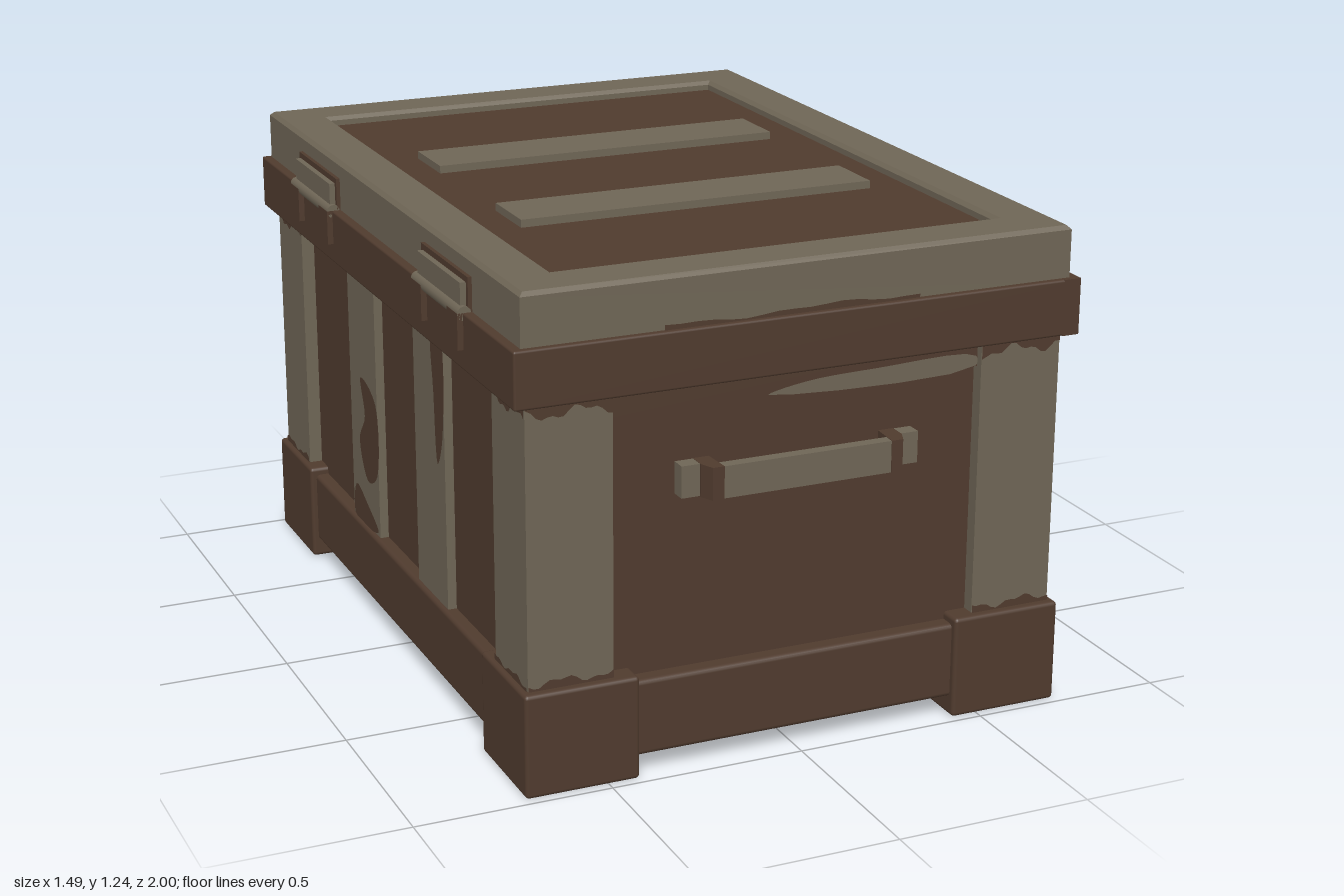
import * as THREE from 'three';
import { RoundedBoxGeometry } from 'three/addons/geometries/RoundedBoxGeometry.js';

const brown = new THREE.MeshStandardMaterial({ name: 'brownWood', color: 0x503b2e });
const olive = new THREE.MeshStandardMaterial({ name: 'oliveMetal', color: 0x6f6656 });

export function createModel() {
  const chest = new THREE.Group();
  chest.name = 'chest';
  chest.position.x = 0.005;

  const add = (name, geometry, material, parent = chest) => {
    const mesh = new THREE.Mesh(geometry, material);
    mesh.name = name;
    parent.add(mesh);
    return mesh;
  };
  // Box given by its extents on each axis
  const box = (name, material, [x0, x1], [y0, y1], [z0, z1], parent = chest, radius = 0) => {
    const size = [x1 - x0, y1 - y0, z1 - z0];
    const g = radius ? new RoundedBoxGeometry(...size, 2, radius) : new THREE.BoxGeometry(...size);
    g.translate((x0 + x1) / 2, (y0 + y1) / 2, (z0 + z1) / 2);
    return add(name, g, material, parent);
  };
  const polygon = (points) => new THREE.Shape(points.map(([x, y]) => new THREE.Vector2(x, y)));
  const prism = (points, depth) =>
    new THREE.ExtrudeGeometry(polygon(points), { depth, bevelEnabled: false });

  // Each side is built facing +z, then turned into place
  const side = (name, angle) => {
    const g = new THREE.Group();
    g.name = name;
    g.rotation.y = angle;
    chest.add(g);
    return g;
  };
  const front = side('frontSide', 0);
  const right = side('latchSide', Math.PI / 2);
  const back = side('backSide', Math.PI);
  const left = side('hingeSide', -Math.PI / 2);

  // Worn paint: a thin smooth-edged patch
  const patch = (parent, material, z, points) => {
    const curve = new THREE.CatmullRomCurve3(
      points.map(([x, y]) => new THREE.Vector3(x, y, 0)), true, 'centripetal');
    const shape = new THREE.Shape(curve.getPoints(points.length * 5).map((p) => new THREE.Vector2(p.x, p.y)));
    add('wornPaint', new THREE.ShapeGeometry(shape), material, parent).position.z = z + 0.003;
  };
  // Worn paint along a straight edge at height y, ragged on the other side
  const ragged = (parent, material, z, u0, u1, y, depth, seed) => {
    const points = [[u0, y], [u1, y]];
    for (let i = 0; i <= 16; i++) {
      const t = 1 - i / 16;
      const wave = 0.6 + 0.25 * Math.sin(t * 9 + seed) + 0.15 * Math.sin(t * 23 + seed * 2);
      points.push([u0 + (u1 - u0) * t, y + depth * wave]);
    }
    add('wornEdge', new THREE.ShapeGeometry(polygon(points)), material, parent).position.z = z + 0.003;
  };

  // Body, base, corner posts and feet
  box('bodyPanels', brown, [-0.665, 0.665], [0.1, 1.0], [-0.92, 0.92]);
  box('baseBoard', brown, [-0.7, 0.7], [0.05, 0.245], [-0.962, 0.962], chest, 0.012);
  for (const sx of [-1, 1]) {
    for (const sz of [-1, 1]) {
      const span = (s, a, b) => (s > 0 ? [a, b] : [-b, -a]);
      box('cornerPost', olive, span(sx, 0.483, 0.7), [0.2, 0.99], span(sz, 0.745, 0.955));
      box('foot', brown, span(sx, 0.425, 0.717), [0, 0.265], span(sz, 0.688, 0.98), chest, 0.01);
    }
  }

  // Short sides: upper trim, handle and worn posts
  const elbow = (s) => [[s * 0.265, 0.91], [s * 0.265, 0.965], [s * 0.25, 1.0], [s * 0.22, 1.0], [s * 0.225, 0.91]];
  [front, back].forEach((face, k) => {
    box('upperTrim', brown, [-0.483, 0.483], [0.905, 0.98], [0.9, 0.935], face);
    const handle = new THREE.Group();
    handle.name = 'handle';
    face.add(handle);
    box('handleBar', olive, [-0.23, 0.23], [0.69, 0.77], [0.968, 0.998], handle);
    for (const s of [-1, 1]) {
      box('handlePlate', olive, s > 0 ? [0.26, 0.312] : [-0.312, -0.26], [0.69, 0.77], [0.91, 0.96], handle);
      const pts = elbow(s).map(([x, z]) => [x, -z]);
      const g = prism(pts, 0.082);
      g.rotateX(-Math.PI / 2).translate(0, 0.689, 0);
      add('handleElbow', g, brown, handle);
      const u = s > 0 ? [0.483, 0.7] : [-0.7, -0.483];
      ragged(face, brown, 0.955, u[0], u[1], 0.97, -0.045, k + s);
      ragged(face, brown, 0.955, u[0], u[1], 0.262, 0.032, k + s * 2);
    }
    patch(face, olive, 0.935, [[-0.08, 0.908], [0.478, 0.908], [0.478, 0.932], [0.2, 0.936], [0.02, 0.928]]);
    // Paint loss along the lid's lower edge
    ragged(face, brown, 0.967, -0.36, 0.3, 1.11, 0.018, k + 2);
  });
  patch(back, brown, 0.955, [[-0.64, 0.86], [-0.57, 0.84], [-0.55, 0.74], [-0.58, 0.66], [-0.63, 0.7], [-0.66, 0.78]]);
  patch(back, brown, 0.955, [[-0.62, 0.55], [-0.54, 0.57], [-0.52, 0.46], [-0.56, 0.38], [-0.63, 0.43]]);

  // Long sides: upright slats and worn posts
  [right, left].forEach((face, k) => {
    for (const s of [-1, 1]) {
      const u = s > 0 ? [0.155, 0.375] : [-0.375, -0.155];
      box('uprightSlat', face === right && s < 0 ? brown : olive, u, [0.2, 0.99], [0.64, 0.688], face);
      const p = s > 0 ? [0.745, 0.955] : [-0.955, -0.745];
      ragged(face, brown, 0.7, p[0], p[1], 0.97, -0.05, k + s * 3);
      ragged(face, brown, 0.7, p[0], p[1], 0.262, 0.025, k + s);
    }
  });
  patch(right, olive, 0.688, [[-0.374, 0.93], [-0.3, 0.95], [-0.2, 0.93], [-0.25, 0.88], [-0.31, 0.84],
    [-0.315, 0.65], [-0.335, 0.5], [-0.33, 0.35], [-0.345, 0.25], [-0.374, 0.25]]);
  patch(right, olive, 0.688, [[-0.157, 0.93], [-0.19, 0.92], [-0.22, 0.83], [-0.18, 0.75], [-0.19, 0.65], [-0.157, 0.57]]);
  patch(right, brown, 0.688, [[0.18, 0.965], [0.36, 0.965], [0.34, 0.9], [0.335, 0.75], [0.31, 0.6], [0.295, 0.5],
    [0.295, 0.39], [0.275, 0.37], [0.25, 0.46], [0.21, 0.52], [0.2, 0.65], [0.22, 0.78], [0.195, 0.88]]);
  patch(left, brown, 0.688, [[-0.28, 0.66], [-0.157, 0.62], [-0.157, 0.42], [-0.24, 0.38], [-0.3, 0.48], [-0.25, 0.56]]);
  patch(left, brown, 0.688, [[-0.34, 0.34], [-0.25, 0.31], [-0.16, 0.26], [-0.36, 0.25]]);
  patch(left, brown, 0.688, [[0.3, 0.965], [0.37, 0.965], [0.37, 0.7], [0.33, 0.62], [0.31, 0.8]]);

  // Rim, with a notch for the latch on one long side
  box('rim', brown, [-0.735, 0.712], [0.968, 1.11], [-0.983, 0.983], chest, 0.006);
  for (const s of [-1, 1]) {
    const pts = [[s * 0.06, 0.968], [s * 0.983, 0.968], [s * 0.983, 1.11], [s * 0.125, 1.11], [s * 0.125, 1.02]];
    add('rimFace', prism(pts, 0.045), brown, right).position.z = 0.69;
  }

  // Latch
  const latch = new THREE.Group();
  latch.name = 'latch';
  right.add(latch);
  add('latchBacking', prism([[-0.06, 0.97], [0.06, 0.97], [0.125, 1.02], [0.125, 1.2], [-0.125, 1.2], [-0.125, 1.02]], 0.02),
    brown, latch).position.z = 0.697;
  add('latchShield', prism([[0, 1.0], [0.087, 1.035], [0.087, 1.18], [-0.087, 1.18], [-0.087, 1.035]], 0.024),
    olive, latch).position.z = 0.701;
  for (const x of [-0.04, 0.04]) box('latchRivet', brown, [x - 0.006, x + 0.006], [1.1, 1.12], [0.72, 0.728], latch);

  // Hinges
  for (const s of [-1, 1]) {
    const hinge = new THREE.Group();
    hinge.name = 'hinge';
    hinge.position.x = s * 0.497;
    left.add(hinge);
    box('hingeBacking', brown, [-0.163, 0.163], [1.1, 1.195], [0.7, 0.722], hinge);
    box('hingeLeaf', olive, [-0.15, 0.15], [1.115, 1.18], [0.7, 0.737], hinge);
    const pin = new THREE.CylinderGeometry(0.018, 0.018, 0.326, 12);
    pin.rotateZ(Math.PI / 2).translate(0, 1.108, 0.732);
    add('hingePin', pin, olive, hinge);
    for (const e of [-1, 1]) box('hingeTab', brown, [e * 0.127 - 0.036, e * 0.127 + 0.036], [1.02, 1.11], [0.71, 0.75], hinge);
  }

  // Lid frame with a sunken panel and two raised slats
  const rect = (x, z) => [[-x, -z], [x, -z], [x, z], [-x, z]];
  const bevel = 0.01;
  const frame = polygon(rect(0.712 - bevel, 0.967 - bevel));
  frame.holes.push(polygon(rect(0.58 + bevel, 0.83 + bevel).reverse()));
  const lid = new THREE.ExtrudeGeometry(frame, {
    depth: 0.13, bevelSize: bevel, bevelThickness: bevel, bevelSegments: 1,
  });
  lid.rotateX(-Math.PI / 2).translate(0, 1.1, 0);
  add('lidFrame', lid, olive);
  box('lidPanel', brown, [-0.6, 0.6], [1.1, 1.215], [-0.85, 0.85]);
  for (const z of [-0.293, 0.288]) box('lidSlat', olive, [-0.478, 0.478], [1.2, 1.235], [z - 0.087, z + 0.087]);

  const model = new THREE.Group();
  model.name = 'storageChest';
  model.add(chest);
  return model;
}
